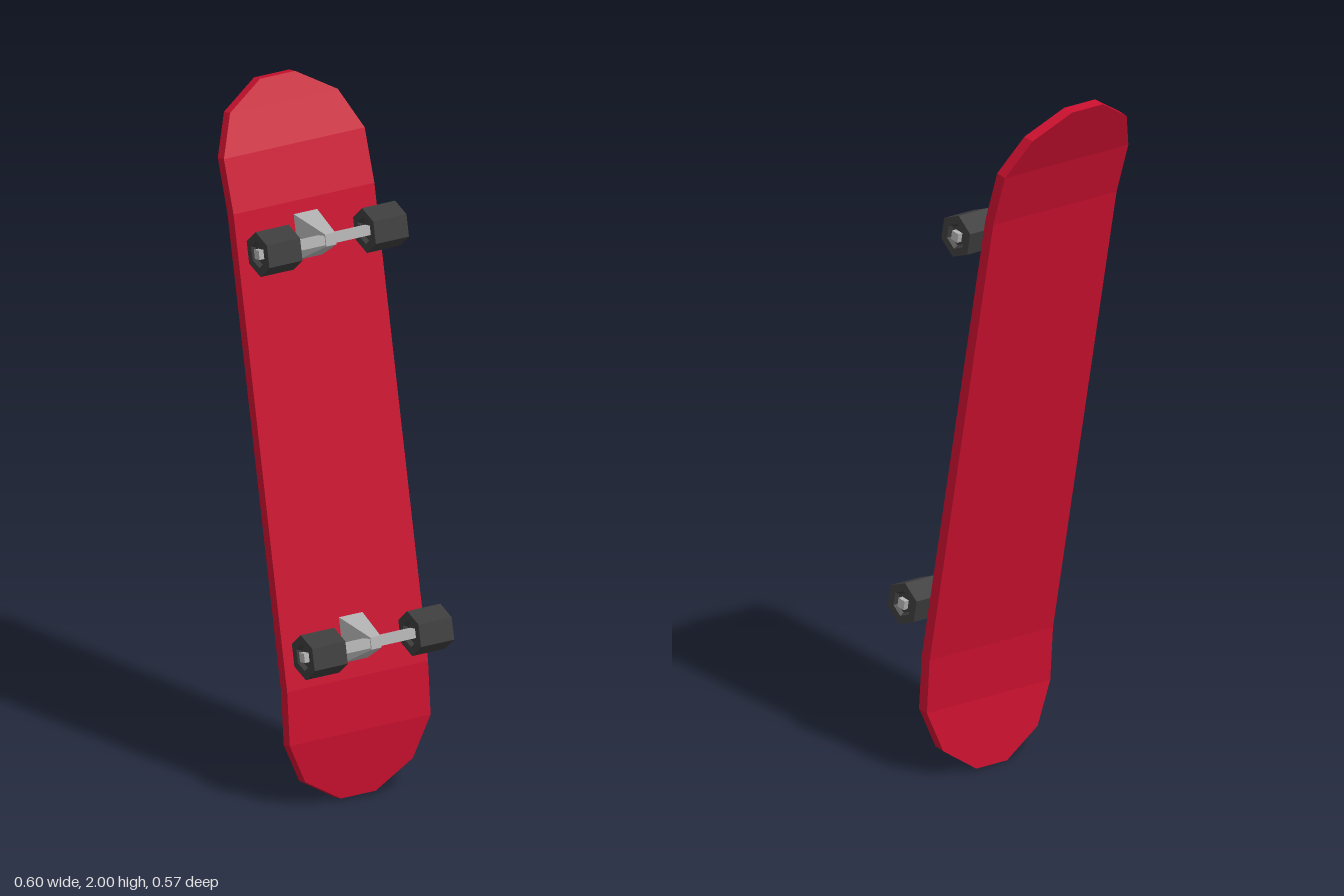
import * as THREE from 'three';

const flat = (name, color) => {
  const m = new THREE.MeshStandardMaterial({ color, flatShading: true });
  m.name = name;
  return m;
};

// Deck: rectangular cross-sections along the length, ends bent away from the wheels
function deckGeometry() {
  const thickness = 0.033;
  // [distance from middle, half width, height of the wheel side]
  const half = [[0.67, 0.225, -0.107], [0.823, 0.225, -0.126], [0.938, 0.172, -0.157], [1.009, 0.056, -0.176]];
  const rows = [...half.map(([y, w, z]) => [-y, w, z]).reverse(), ...half];
  const pos = [], index = [];
  for (const [y, w, z] of rows) {
    pos.push(-w, y, z, w, y, z, w, y, z - thickness, -w, y, z - thickness);
  }
  const quad = (a, b, c, d) => index.push(a, b, c, a, c, d);
  for (let r = 0; r < rows.length - 1; r++) {
    for (let k = 0; k < 4; k++) {
      const a = r * 4 + k, b = r * 4 + (k + 1) % 4;
      quad(a, b, b + 4, a + 4);
    }
  }
  const e = (rows.length - 1) * 4;
  quad(3, 2, 1, 0);
  quad(e, e + 1, e + 2, e + 3);
  const g = new THREE.BufferGeometry();
  g.setAttribute('position', new THREE.Float32BufferAttribute(pos, 3));
  g.setIndex(index);
  const out = g.toNonIndexed();
  out.computeVertexNormals();
  return out;
}

// Six-sided wheel with a shallow recess in each end, turning about x
function wheelGeometry() {
  const p = [[0, -0.042], [0.03, -0.042], [0.038, -0.053], [0.063, -0.053],
    [0.063, 0.053], [0.038, 0.053], [0.03, 0.042], [0, 0.042]];
  const g = new THREE.LatheGeometry(p.map(([x, y]) => new THREE.Vector2(x, y)), 6);
  // a corner points along the board
  return g.rotateZ(Math.PI / 2).rotateX(-Math.PI / 2);
}

// Truck base: block wide at the deck, narrow at the axle
function hangerGeometry() {
  const g = new THREE.BoxGeometry(1, 1, 0.126);
  const p = g.attributes.position;
  for (let i = 0; i < p.count; i++) {
    const tip = p.getZ(i) > 0;
    p.setX(i, p.getX(i) * (tip ? 0.032 : 0.076));
    p.setY(i, p.getY(i) * (tip ? 0.034 : 0.13));
  }
  g.translate(0, 0, -0.047);
  g.computeVertexNormals();
  return g;
}

export function createModel() {
  const red = flat('deck red', 0xc8102e);
  const metal = flat('truck grey', 0xb0b0b0);
  const rubber = flat('wheel charcoal', 0x3c3c3c);

  const add = (parent, name, geometry, material) => {
    const m = new THREE.Mesh(geometry, material);
    m.name = name;
    parent.add(m);
    return m;
  };

  // Board frame: x across, y along, z towards the wheels
  const board = new THREE.Group();
  board.name = 'leaningBoard';
  add(board, 'deck', deckGeometry(), red);

  const wheel = wheelGeometry();
  const hanger = hangerGeometry();
  const axle = new THREE.BoxGeometry(0.454, 0.026, 0.026);
  for (const [end, y] of [['lower', -0.56], ['upper', 0.57]]) {
    const truck = new THREE.Group();
    truck.name = end + 'Truck';
    truck.position.y = y;
    add(truck, 'hanger', hanger, metal);
    add(truck, 'axle', axle, metal);
    for (const s of [-1, 1]) {
      add(truck, s > 0 ? 'leftWheel' : 'rightWheel', wheel, rubber).position.x = s * 0.17;
    }
    board.add(truck);
  }

  // Lean the whole board back and turn it slightly
  const across = new THREE.Vector3(0.955, 0.03, -0.295).normalize();
  const out = across.clone().cross(new THREE.Vector3(-0.077, 0.986, -0.146)).normalize();
  const along = out.clone().cross(across);
  board.quaternion.setFromRotationMatrix(new THREE.Matrix4().makeBasis(across, along, out));
  board.position.set(0.027, 1.031, 0.078);

  const model = new THREE.Group();
  model.name = 'skateboard';
  model.add(board);
  return model;
}
